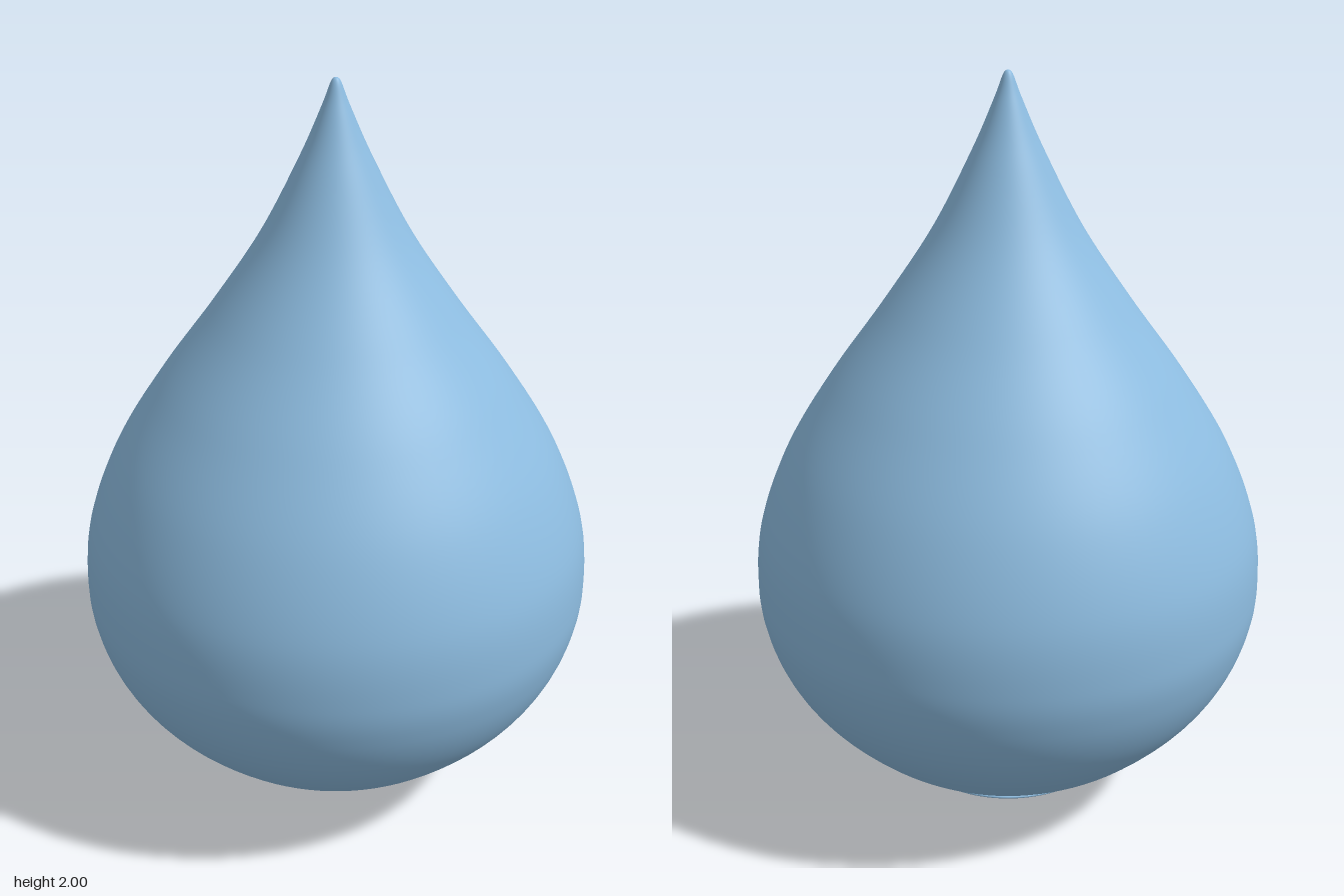
import * as THREE from 'three';

const SEGMENTS = 96;

// Smooth curve through [radius, height] pairs, listed from bottom to top
function smoothProfile(pairs, divisions) {
  const curve = new THREE.SplineCurve(pairs.map(([r, y]) => new THREE.Vector2(r, y)));
  return curve.getPoints(divisions).map((p) => new THREE.Vector2(Math.max(p.x, 0), p.y));
}

export function createModel() {
  const group = new THREE.Group();
  const blue = new THREE.MeshStandardMaterial({ color: 0x8dbce0, side: THREE.DoubleSide });
  blue.name = 'dropletBlue';

  function addLathe(name, points) {
    const mesh = new THREE.Mesh(new THREE.LatheGeometry(points, SEGMENTS), blue);
    mesh.name = name;
    group.add(mesh);
  }

  // Teardrop body, swelling low and drawn out to a fine tip
  addLathe('dropletBody', smoothProfile([
    [0.38, 0.13], [0.47, 0.2], [0.566, 0.3], [0.632, 0.4], [0.674, 0.51],
    [0.69, 0.63], [0.672, 0.8], [0.595, 1.0], [0.472, 1.2], [0.328, 1.4],
    [0.195, 1.6], [0.092, 1.8], [0.035, 1.93], [0.012, 1.99], [0, 2.0],
  ], 110));

  // Rolled lip under the body
  addLathe('upperLip', smoothProfile([
    [0.31, 0.113], [0.335, 0.107], [0.35, 0.113], [0.365, 0.124], [0.38, 0.13],
  ], 16));

  // Recessed neck with a soft ridge
  addLathe('neck', smoothProfile([
    [0.275, 0.07], [0.297, 0.075], [0.305, 0.083], [0.318, 0.092], [0.316, 0.102], [0.31, 0.113],
  ], 18));

  // Rounded foot and its upper rim
  addLathe('foot', smoothProfile([
    [0.18, 0], [0.212, 0.007], [0.242, 0.022], [0.265, 0.042], [0.288, 0.055],
    [0.294, 0.062], [0.288, 0.068], [0.275, 0.07],
  ], 28));

  // Flat underside
  const underside = new THREE.Mesh(new THREE.CircleGeometry(0.18, SEGMENTS), blue);
  underside.name = 'underside';
  underside.rotation.x = Math.PI / 2;
  group.add(underside);

  return group;
}
